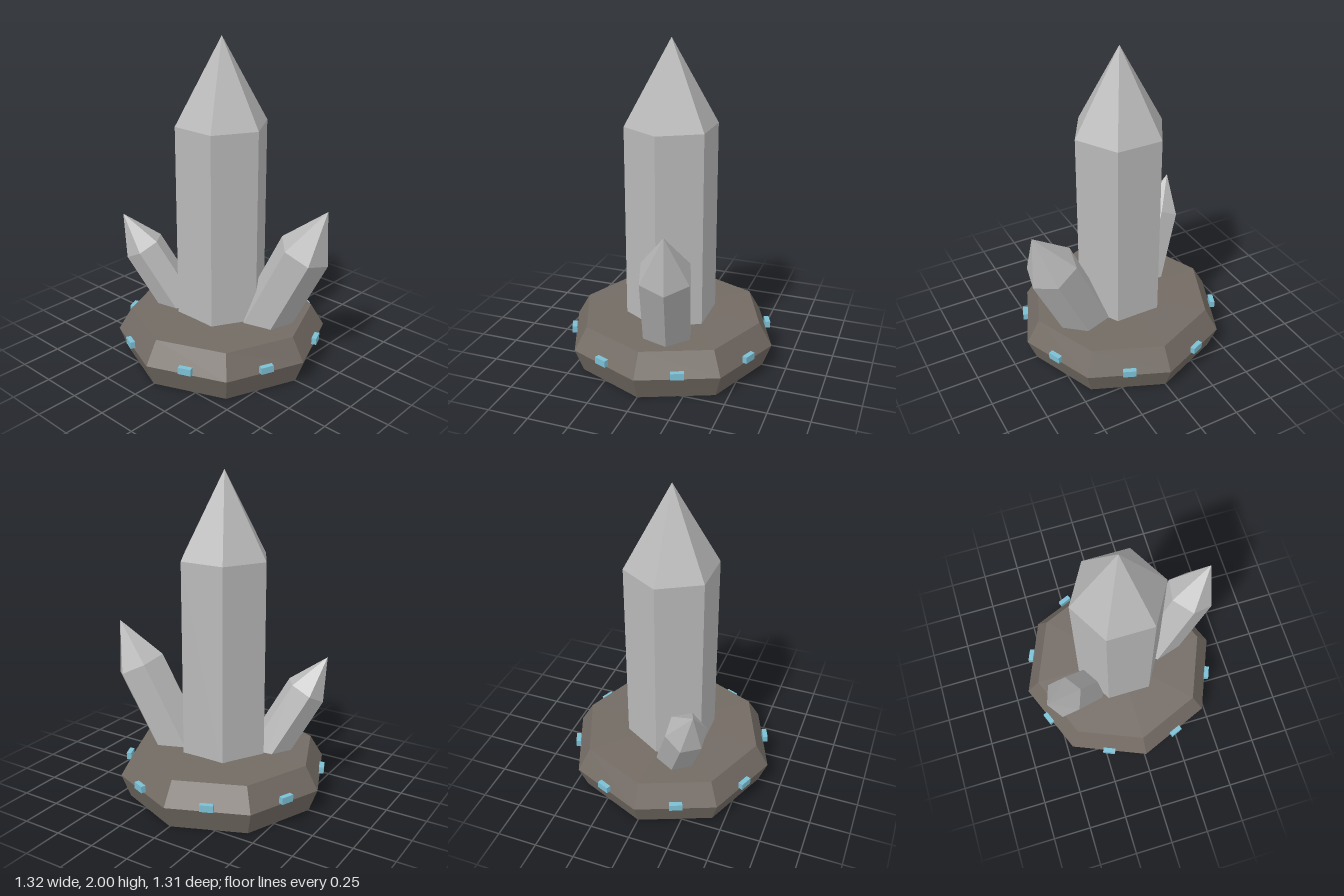
import * as THREE from 'three';

const stone = new THREE.MeshStandardMaterial({ color: 0x736b64 });
const crystal = new THREE.MeshStandardMaterial({ color: 0xb9b9b9 });
const inlay = new THREE.MeshStandardMaterial({ color: 0x7bbfd4 });

// Faceted solid of revolution with flat normals, profile listed from bottom to top
function faceted(profile, sides) {
  const points = profile.map(([r, y]) => new THREE.Vector2(r, y));
  const geometry = new THREE.LatheGeometry(points, sides).toNonIndexed();
  geometry.computeVertexNormals();
  return geometry;
}

// Six-sided crystal whose origin is the centre of its shoulder
function makeCrystal(name, { radius, length, tip, position, heading = 0, tilt = 0, spin = 0 }) {
  const profile = [[0, -length], [radius, -length], [radius, 0], [0, tip]];
  const geometry = faceted(profile, 6);
  geometry.rotateY(spin);
  const mesh = new THREE.Mesh(geometry, crystal);
  mesh.name = name;
  mesh.position.set(...position);
  mesh.rotation.set(0, heading, -tilt, 'YZX');
  return mesh;
}

export function createModel() {
  const model = new THREE.Group();
  model.name = 'crystalCluster';

  // Octagonal stone base with a very low crown
  const base = new THREE.Mesh(
    faceted([[0, 0], [0.6, 0], [0.655, 0.145], [0.572, 0.287], [0, 0.302]], 8), stone);
  base.name = 'stoneBase';
  model.add(base);

  // One tall crystal and two leaning ones
  const deg = Math.PI / 180;
  model.add(
    makeCrystal('mainCrystal', {
      radius: 0.284, length: 1.29, tip: 0.51, position: [0, 1.49, 0], spin: 30 * deg,
    }),
    makeCrystal('leftCrystal', {
      radius: 0.161, length: 0.66, tip: 0.3, position: [0.527, 0.78, -0.148],
      heading: 17 * deg, tilt: 26 * deg, spin: 30 * deg,
    }),
    makeCrystal('rightCrystal', {
      radius: 0.128, length: 0.56, tip: 0.246, position: [-0.436, 0.66, 0.252],
      heading: 215.5 * deg, tilt: 31 * deg,
    }),
  );

  // A small inlay in the middle of every side of the base
  const inlays = new THREE.Group();
  inlays.name = 'inlays';
  const block = new THREE.BoxGeometry(0.08, 0.042, 0.03);
  for (let i = 0; i < 8; i++) {
    const angle = (i + 0.5) * Math.PI / 4;
    const mesh = new THREE.Mesh(block, inlay);
    mesh.name = 'inlay';
    mesh.position.set(Math.sin(angle) * 0.615, 0.175, Math.cos(angle) * 0.615);
    mesh.rotation.y = angle;
    inlays.add(mesh);
  }
  model.add(inlays);

  return model;
}
